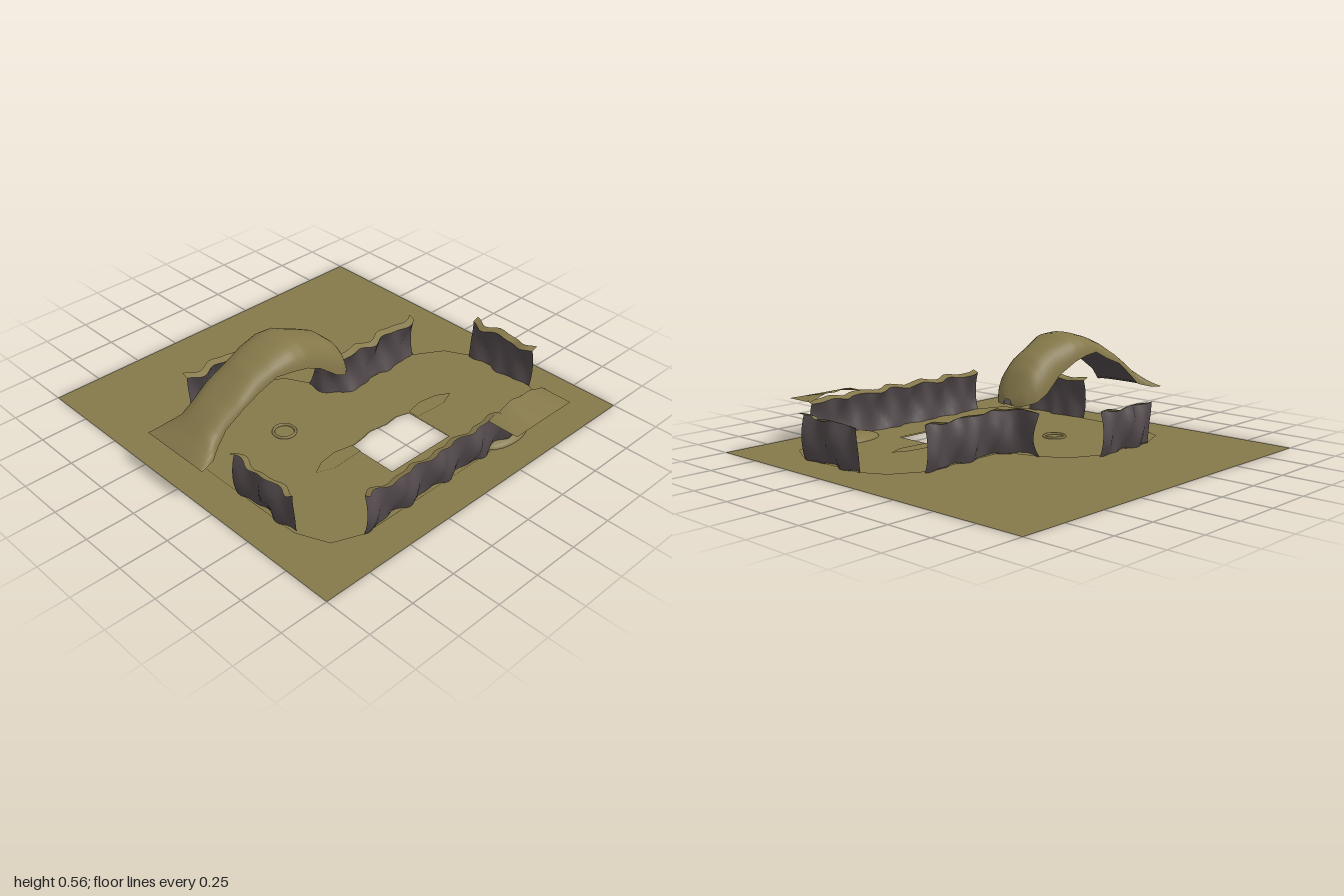
import * as THREE from 'three';

const mat = (name, color) => Object.assign(
  new THREE.MeshStandardMaterial({ color, side: THREE.DoubleSide }), { name });
const earth = mat('earth', 0x85784a);
const rock = mat('rock', 0x51484a);

// Smooth sheet from a rule fn(u, v) -> [x, y, z]
function sheet(nu, nv, fn) {
  const pos = [], idx = [];
  for (let i = 0; i <= nu; i++) for (let j = 0; j <= nv; j++) pos.push(...fn(i / nu, j / nv));
  for (let i = 0; i < nu; i++) for (let j = 0; j < nv; j++) {
    const a = i * (nv + 1) + j, b = a + nv + 1;
    idx.push(a, a + 1, b, b, a + 1, b + 1);
  }
  const g = new THREE.BufferGeometry();
  g.setAttribute('position', new THREE.Float32BufferAttribute(pos, 3));
  g.setIndex(idx);
  g.computeVertexNormals();
  return g;
}

// Flat plate in the ground plane; points are [x, z]
function plate(points, hole, y) {
  const v = (p) => p.map(([x, z]) => new THREE.Vector2(x, -z));
  const s = new THREE.Shape(v(points));
  if (hole) s.holes.push(new THREE.Path(v(hole)));
  return new THREE.ShapeGeometry(s).rotateX(-Math.PI / 2).translate(0, y, 0);
}

// Interpolate a station table whose first column is x
function at(table, x) {
  let i = 0;
  while (i < table.length - 2 && table[i + 1][0] < x) i++;
  const a = table[i], b = table[i + 1];
  const t = THREE.MathUtils.clamp((x - a[0]) / (b[0] - a[0]), 0, 1);
  return a.map((q, k) => THREE.MathUtils.lerp(q, b[k], t));
}

export function createModel() {
  const root = new THREE.Group();
  const add = (name, geo, m, parent = root) => {
    const mesh = new THREE.Mesh(geo, m);
    mesh.name = name;
    parent.add(mesh);
    return mesh;
  };

  // Ground and pit floor share a hole with a ragged back edge
  const hole = [[-0.2, 0.6], [0.2, 0.6], [0.2, 0.33], [0.13, 0.31], [0.05, 0.32],
    [-0.05, 0.305], [-0.12, 0.32], [-0.2, 0.33]];
  add('ground', plate([[-1, -1], [1, -1], [1, 1], [-1, 1]], hole, 0), earth);
  add('pitFloor', plate([[-0.6, 0.82], [0.6, 0.82], [0.74, 0.75], [0.82, 0.6], [0.82, 0.2],
    [0.75, 0.07], [0.6, -0.02], [0.08, -0.02], [0.02, -0.2], [-0.05, -0.33], [-0.2, -0.41],
    [-0.6, -0.41], [-0.75, -0.35], [-0.82, -0.2], [-0.82, 0.6], [-0.75, 0.76]], hole, 0.006), earth);

  // Thin ledges either side of the hole
  for (const s of [-1, 1]) add('holeLedge', plate([[0.2, 0.33], [0.3, 0.31], [0.4, 0.325],
    [0.47, 0.365], [0.38, 0.4], [0.2, 0.39]].map(([x, z]) => [x * s, z]), null, 0.011), earth);

  // Low mound and small stone ring on the floor
  add('mound', new THREE.SphereGeometry(1, 24, 8, 0, Math.PI * 2, 0, Math.PI / 2)
    .scale(0.17, 0.038, 0.1).translate(0.4, 0.004, 0.755), earth);
  add('floorRing', new THREE.TorusGeometry(0.055, 0.008, 6, 20)
    .rotateX(Math.PI / 2).translate(-0.36, 0.01, 0.02), earth);

  // Wavy rock walls; each path runs so that its outer side is on the right
  function wall(name, points, height = 0.215) {
    const g = new THREE.Group();
    g.name = name;
    root.add(g);
    const curve = new THREE.CatmullRomCurve3(points.map(([x, z]) => new THREE.Vector3(x, 0, z)));
    const n = Math.max(16, Math.round(curve.getLength() * 50));
    const point = (u, out, y) => {
      const p = curve.getPointAt(u), t = curve.getTangentAt(u);
      return [p.x - t.z * out, y, p.z + t.x * out];
    };
    const wave = (u, v) => {
      const s = u * curve.getLength();
      return 0.012 * Math.sin(s * 26 + v * 3) + 0.008 * Math.sin(s * 47 - v * 5 + 1)
        + 0.022 * Math.sin(v * Math.PI) - 0.012;
    };
    const top = (u) => height + 0.007 * Math.sin(u * curve.getLength() * 30 + 1);
    add('rockFace', sheet(n, 8, (u, v) => point(u, wave(u, v), v * top(u))), rock, g);
    add('wallLip', sheet(n, 2, (u, v) => point(u, wave(u, 1) + v * 0.035, top(u) + v * 0.014)), earth, g);
  }
  wall('frontWall', [[0.6, 0.82], [-0.6, 0.82]].reverse());
  wall('leftWall', [[0.82, 0.6], [0.82, 0.2]]);
  wall('rightWall', [[-0.82, 0.2], [-0.82, 0.6]]);
  wall('alcoveWall', [[-0.2, -0.42], [-0.6, -0.42]]);
  wall('cornerWall', [[0.6, -0.025], [0.3, -0.025], [0.1, -0.02], [0.045, -0.055],
    [0.022, -0.12], [0.022, -0.2]], 0.22);

  // Sloping piece of upper ground outside the front wall
  add('upperLedge', sheet(20, 8, (u, v) => {
    const bump = 0.045 * (1 - v) * Math.sin(u * Math.PI) * (0.85 + 0.15 * Math.cos(u * 16));
    return [0.2 + 0.4 * u, 0.218 + bump, 0.83 + 0.17 * v];
  }), earth);

  // Natural arch: x, crown height, edge height, half width
  const arch = [[-1, 0.218, 0.215, 0.2], [-0.92, 0.275, 0.222, 0.18], [-0.86, 0.325, 0.24, 0.14],
    [-0.8, 0.37, 0.3, 0.128], [-0.7, 0.43, 0.37, 0.135], [-0.6, 0.49, 0.41, 0.13],
    [-0.5, 0.53, 0.455, 0.14], [-0.4, 0.558, 0.45, 0.157], [-0.32, 0.555, 0.43, 0.157],
    [-0.22, 0.515, 0.37, 0.135], [-0.12, 0.465, 0.29, 0.14], [-0.05, 0.4, 0.25, 0.13],
    [0, 0.31, 0.235, 0.085], [0.02, 0.265, 0.232, 0.025]];
  const shell = (crown) => (u, v) => {
    const [x, topY, edge, w] = at(arch, -1 + 1.02 * u);
    const c = Math.cos(v * Math.PI), s = Math.sin(v * Math.PI);
    return [x, edge + (topY - edge) * crown * Math.pow(Math.abs(s), 0.9),
      w * Math.sign(c) * Math.pow(Math.abs(c), 0.75)];
  };
  add('archTop', sheet(51, 16, shell(1)), earth);
  add('archUnderside', sheet(51, 16, shell(0.15)), rock);

  return root;
}
